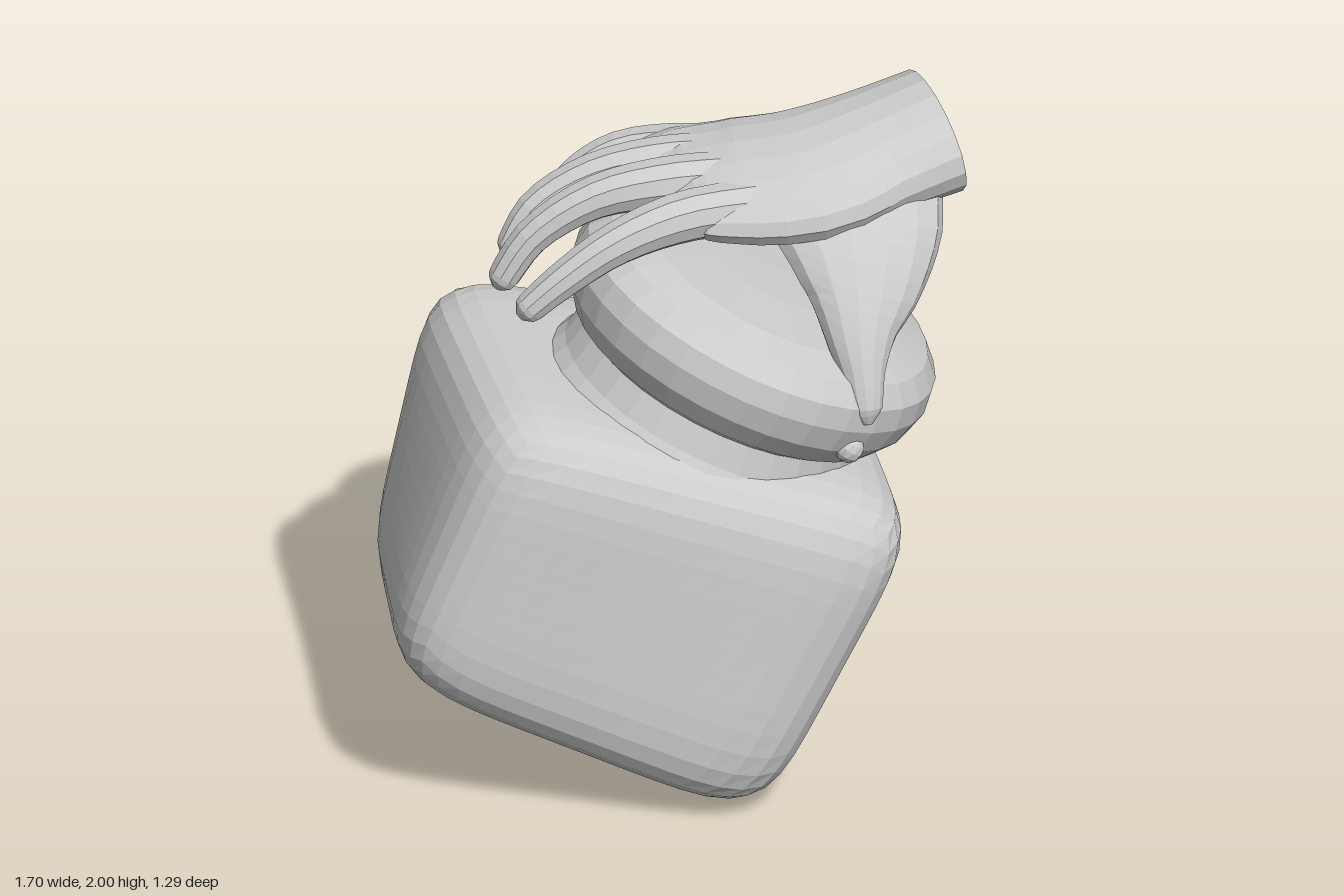
import * as THREE from 'three';

const V = (x, y, z) => new THREE.Vector3(x, y, z);
const material = new THREE.MeshStandardMaterial({ color: 0xcccccc, flatShading: true });

function addMesh(parent, geometry, name) {
  const mesh = new THREE.Mesh(geometry, material);
  mesh.name = name;
  parent.add(mesh);
  return mesh;
}

// Closed loft of ellipses along a smooth path; stations are [x, y, z, radius along side, other radius]
function loft(stations, side, rings = 12, sides = 12) {
  const path = new THREE.CatmullRomCurve3(stations.map(s => V(s[0], s[1], s[2])));
  const radii = new THREE.CatmullRomCurve3(stations.map(s => V(s[3], s[4] ?? s[3], 0)));
  const pos = [], index = [];
  for (let i = 0; i <= rings; i++) {
    const c = path.getPoint(i / rings), r = radii.getPoint(i / rings);
    const t = path.getTangent(i / rings);
    const a = side.clone().addScaledVector(t, -side.dot(t)).normalize();
    const b = t.clone().cross(a);
    for (let j = 0; j < sides; j++) {
      const q = j / sides * Math.PI * 2;
      const p = c.clone().addScaledVector(a, r.x * Math.cos(q)).addScaledVector(b, r.y * Math.sin(q));
      pos.push(p.x, p.y, p.z);
      if (i < rings) {
        const k = i * sides + j, n = i * sides + (j + 1) % sides;
        index.push(k, n, k + sides, n, n + sides, k + sides);
      }
    }
  }
  // flat end caps
  const last = rings * sides;
  for (let j = 1; j < sides - 1; j++) {
    index.push(0, j + 1, j, last, last + j, last + j + 1);
  }
  const g = new THREE.BufferGeometry();
  g.setAttribute('position', new THREE.Float32BufferAttribute(pos, 3));
  g.setIndex(index);
  g.computeVertexNormals();
  return g;
}

// Soft-edged block fitted into eight corners, ordered by left/right, bottom/top, back/front
function softBlock(corners, swell, power) {
  const g = new THREE.BoxGeometry(2, 2, 2, 14, 14, 14);
  const p = g.attributes.position, v = V(0, 0, 0);
  for (let i = 0; i < p.count; i++) {
    v.fromBufferAttribute(p, i);
    const norm = v.toArray().reduce((s, c) => s + Math.abs(c) ** power, 0) ** (1 / power);
    v.multiplyScalar(swell / norm);
    const out = V(0, 0, 0);
    corners.forEach((c, k) => {
      const w = (1 + (k & 4 ? v.x : -v.x)) * (1 + (k & 2 ? v.y : -v.y)) * (1 + (k & 1 ? v.z : -v.z)) / 8;
      out.addScaledVector(c, w);
    });
    p.setXYZ(i, out.x, Math.max(0, out.y), out.z);
  }
  g.computeVertexNormals();
  return g;
}

export function createModel() {
  const model = new THREE.Group();

  // Tilted jar
  const jar = new THREE.Group();
  jar.name = 'jar';
  model.add(jar);
  addMesh(jar, softBlock([
    V(-0.64, 0.4, -0.63), V(-0.89, 0.47, 0.28),
    V(-0.45, 1.29, -0.64), V(-0.56, 1.25, 0.34),
    V(0.32, -0.02, -0.44), V(0.07, 0.02, 0.61),
    V(0.69, 0.91, -0.4), V(0.54, 0.88, 0.64),
  ], 1.11, 5.7), 'jarBody');

  // Lid and neck share the tilted axis of the jar
  const top = new THREE.Group();
  top.name = 'jarTop';
  top.position.set(0.255, 1.295, 0.025);
  top.quaternion.setFromUnitVectors(V(0, 1, 0), V(0.41, 0.9, 0.1).normalize());
  jar.add(top);
  const lathe = pts => new THREE.LatheGeometry(pts.map(p => new THREE.Vector2(...p)), 32);
  addMesh(top, lathe([[0, -0.18], [0.42, -0.17], [0.49, -0.13], [0.54, -0.06], [0.56, 0.02],
    [0.55, 0.09], [0.5, 0.145], [0.4, 0.18], [0.2, 0.2], [0, 0.205]]), 'lid');
  addMesh(top, lathe([[0.5, -0.3], [0.47, -0.24], [0.45, -0.15]]), 'neck');

  // Catch on the front rim of the lid
  const knob = addMesh(jar, new THREE.IcosahedronGeometry(0.045, 1), 'rimKnob');
  knob.position.set(0.385, 1.125, 0.51);

  // Hand reaching over the lid, cut off at the wrist
  const hand = new THREE.Group();
  hand.name = 'hand';
  model.add(hand);
  addMesh(hand, loft([
    [0.82, 1.845, 0.045, 0.225, 0.16],
    [0.62, 1.81, 0.05, 0.24, 0.14],
    [0.4, 1.785, 0.07, 0.275, 0.125],
    [0.22, 1.775, 0.02, 0.27, 0.11],
    [0.08, 1.775, -0.02, 0.25, 0.08],
    [-0.05, 1.77, -0.02, 0.19, 0.025],
  ], V(0, -0.14, 1).normalize(), 15, 18), 'palm');

  addMesh(hand, loft([
    [0.52, 1.79, 0.12, 0.29, 0.09],
    [0.51, 1.66, 0.25, 0.25, 0.1],
    [0.485, 1.55, 0.345, 0.185, 0.095],
    [0.45, 1.44, 0.425, 0.11, 0.08],
    [0.435, 1.34, 0.485, 0.067, 0.063],
    [0.43, 1.25, 0.53, 0.048, 0.045],
    [0.43, 1.21, 0.545, 0.015, 0.015],
  ], V(1, 0, 0), 18, 14), 'thumb');

  const fingers = {
    indexFinger: [[0.25, 1.77, 0.17], [0, 1.765, 0.155], [-0.2, 1.71, 0.15], [-0.36, 1.61, 0.135], [-0.455, 1.53, 0.12]],
    middleFinger: [[0.25, 1.79, 0.03], [0, 1.8, 0], [-0.2, 1.765, -0.04], [-0.37, 1.66, -0.07], [-0.46, 1.53, -0.08]],
    ringFinger: [[0.25, 1.79, -0.08], [0.05, 1.79, -0.14], [-0.15, 1.755, -0.19], [-0.31, 1.67, -0.21], [-0.39, 1.56, -0.2]],
    littleFinger: [[0.32, 1.78, -0.1], [0.14, 1.76, -0.25], [-0.02, 1.73, -0.335], [-0.14, 1.67, -0.35], [-0.2, 1.62, -0.33]],
  };
  const thickness = [0.08, 0.076, 0.064, 0.054, 0.045];
  for (const [name, points] of Object.entries(fingers)) {
    const stations = points.map((p, i) => [...p, thickness[i]]);
    // rounded fingertip just past the last joint
    const end = V(...points[4]);
    const tip = end.clone().sub(V(...points[3])).setLength(0.03).add(end);
    stations.push([tip.x, tip.y, tip.z, 0.015]);
    addMesh(hand, loft(stations, V(0, 0, 1), 18, 10), name);
  }
  return model;
}
